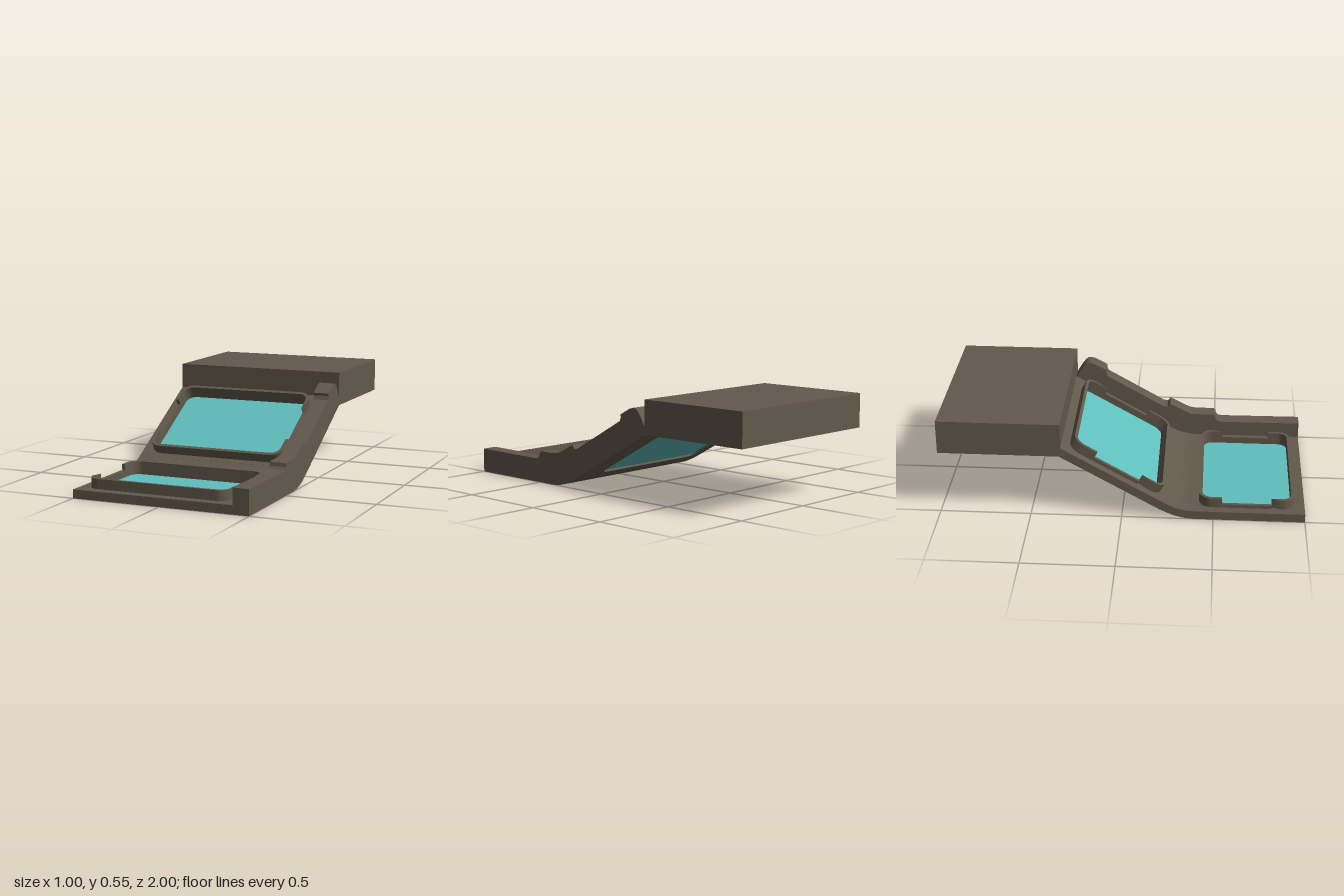
import * as THREE from 'three';
import { toCreasedNormals } from 'three/addons/utils/BufferGeometryUtils.js';

const body = new THREE.MeshStandardMaterial({ color: 0x62594c });
const glass = new THREE.MeshStandardMaterial({ color: 0x5fbfbd });

const THICK = 0.048;  // sheet thickness
const WALL = 0.018;   // frame wall thickness
const RIM = 0.055;    // frame height above the sheet
const LOW = 0.02;     // frame height inside the side notches
const FRAME_W = 0.81;
const R = 0.07;       // outer corner radius of the frames
const MID_X = -0.045; // middle of the sheet, beside the rail

function mesh(name, geometry, material = body) {
  const m = new THREE.Mesh(toCreasedNormals(geometry, 0.5), material);
  m.name = name;
  return m;
}

// extrude a shape drawn in (x, -z) upwards from y0
function slab(shape, y0, height) {
  return new THREE.ExtrudeGeometry(shape, { depth: height, bevelEnabled: false, curveSegments: 8 })
    .rotateX(-Math.PI / 2).translate(0, y0, 0);
}

// extrude a shape drawn in (z, y) sideways between x0 and x1
function sideways(shape, x0, x1) {
  return new THREE.ExtrudeGeometry(shape, { depth: x1 - x0, bevelEnabled: false, curveSegments: 12 })
    .rotateY(-Math.PI / 2).translate(x1, 0, 0);
}

function roundedRect(w, h, r, Type = THREE.Shape) {
  const s = new Type(), a = w / 2 - r, b = h / 2 - r;
  s.absarc(a, b, r, 0, Math.PI / 2);
  s.absarc(-a, b, r, Math.PI / 2, Math.PI);
  s.absarc(-a, -b, r, Math.PI, Math.PI * 1.5);
  s.absarc(a, -b, r, Math.PI * 1.5, Math.PI * 2);
  s.closePath();
  return s;
}

// one end of a frame: a U that stops at the side notches
function frameEnd(length, notch) {
  const w = FRAME_W / 2, h = length / 2, wi = w - WALL, r = R - WALL, a = w - R, b = h - R;
  const s = new THREE.Shape();
  s.moveTo(w, notch);
  s.absarc(a, b, R, 0, Math.PI / 2);
  s.absarc(-a, b, R, Math.PI / 2, Math.PI);
  s.lineTo(-w, notch);
  s.lineTo(-wi, notch);
  s.absarc(-a, b, r, Math.PI, Math.PI / 2, true);
  s.absarc(a, b, r, Math.PI / 2, 0, true);
  s.lineTo(wi, notch);
  s.closePath();
  return s;
}

// sheet with a framed window; local y = 0 is the top of the sheet
function windowPanel(name, back, front, length, notch) {
  const g = new THREE.Group();
  g.name = name;
  const holeW = FRAME_W - 2 * WALL, holeL = length - 2 * WALL, r = R - WALL;

  const sheet = new THREE.Shape([
    new THREE.Vector2(-0.455, -front), new THREE.Vector2(0.455, -front),
    new THREE.Vector2(0.455, -back), new THREE.Vector2(-0.455, -back),
  ]);
  sheet.holes.push(roundedRect(holeW, holeL, r, THREE.Path));
  g.add(mesh('sheet', slab(sheet, -THICK, THICK)));

  g.add(mesh('windowPane', slab(roundedRect(holeW, holeL, r), -THICK + 0.012, THICK - 0.03), glass));

  for (const turn of [0, Math.PI]) {
    const end = mesh('frameEnd', slab(frameEnd(length, notch), 0, RIM));
    end.rotation.y = turn;
    g.add(end);
  }
  for (const side of [-1, 1]) {
    const low = mesh('frameNotch', new THREE.BoxGeometry(WALL, LOW, 2 * notch));
    low.position.set(side * (FRAME_W - WALL) / 2, LOW / 2, 0);
    g.add(low);
  }
  return g;
}

export function createModel() {
  const model = new THREE.Group();
  model.name = 'steppedPanel';

  // raised block at the back
  const block = mesh('backBlock', new THREE.BoxGeometry(1, 0.19, 0.67));
  block.position.set(0, 0.457, -0.665);
  model.add(block);

  // level panel at the front
  const level = windowPanel('levelPanel', -0.2825, 0.3175, 0.522, 0.135);
  level.position.set(MID_X, THICK, 0.6825);
  model.add(level);

  // sloping panel up to the block
  const tilt = Math.atan(0.566);
  const sloped = windowPanel('slopedPanel', -0.335, 0.316, 0.568, 0.14);
  sloped.position.set(MID_X, 0.248, -0.04);
  sloped.rotation.x = tilt;
  model.add(sloped);

  // curved sheet between the two panels
  const bend = new THREE.Shape();
  bend.moveTo(0.4, 0);
  bend.quadraticCurveTo(0.306, 0, 0.212, 0.052);
  bend.lineTo(0.235, 0.092);
  bend.quadraticCurveTo(0.31, THICK, 0.4, THICK);
  bend.closePath();
  model.add(mesh('bend', sideways(bend, -0.5, 0.41)));

  // stepped rail along the left side
  const rail = new THREE.Shape();
  rail.moveTo(1, 0);
  rail.lineTo(0.4, 0);
  rail.quadraticCurveTo(0.306, 0, 0.212, 0.052);
  rail.lineTo(-0.33, 0.36);
  const top = [
    [-0.33, 0.405], [-0.3, 0.455], [-0.278, 0.486], [-0.264, 0.497], [-0.247, 0.5], [-0.22, 0.493],
    [-0.15, 0.455], [-0.153, 0.44], [-0.144, 0.418], [0.187, 0.231], [0.203, 0.226], [0.216, 0.228],
    [0.23, 0.246], [0.326, 0.197], [0.352, 0.186], [0.38, 0.182], [0.49, 0.181], [0.5, 0.175],
    [0.503, 0.155], [0.515, 0.141], [0.54, 0.135], [1, 0.138],
  ];
  top.forEach(([z, y]) => rail.lineTo(z, y));
  rail.closePath();
  model.add(mesh('sideRail', sideways(rail, 0.41, 0.5)));

  return model;
}
